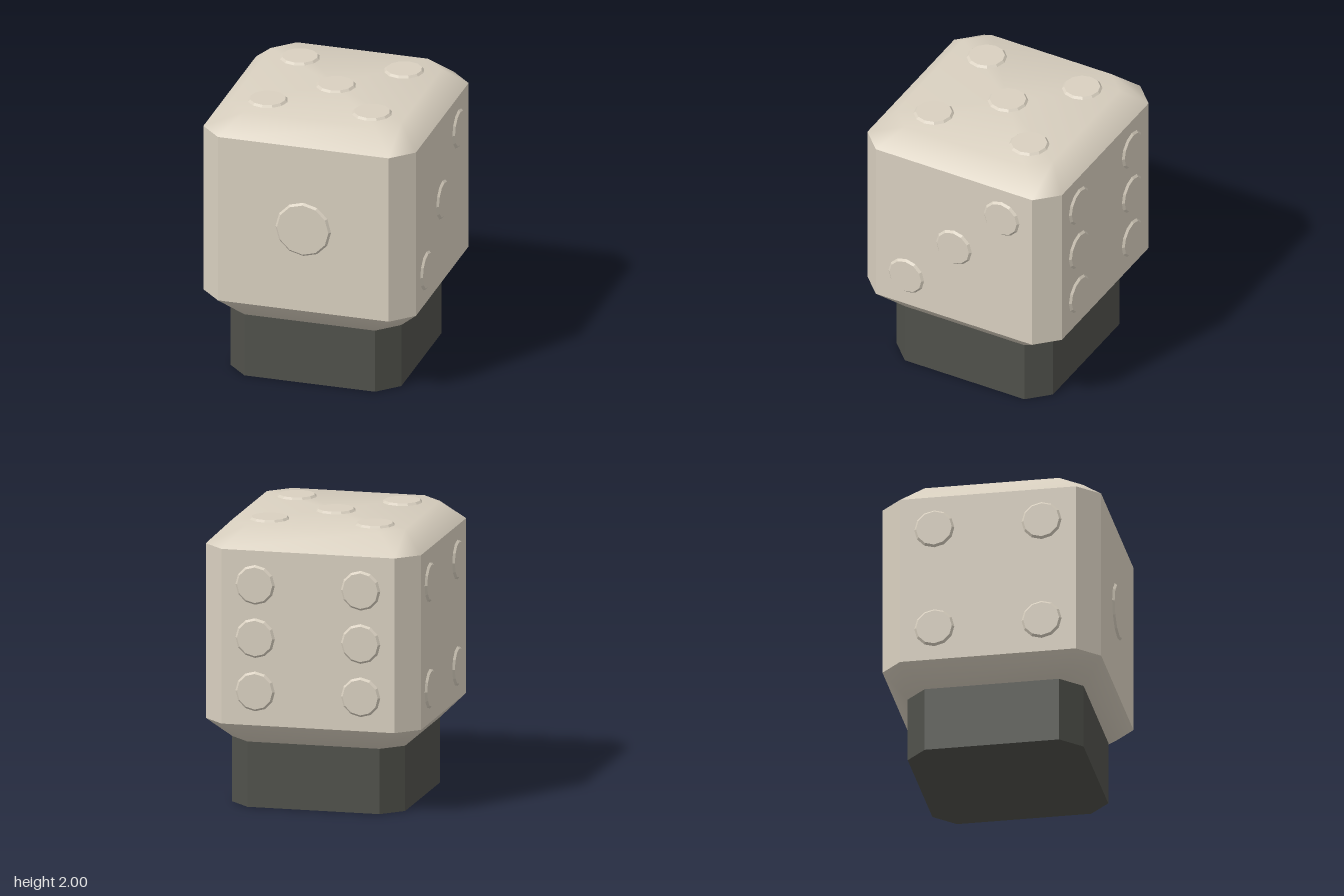
import * as THREE from 'three';

// Square with cut corners, running from +z towards +x
function octagon(half, cut) {
  const c = half - cut, h = half;
  return [[c, h], [h, c], [h, -c], [c, -h], [-c, -h], [-h, -c], [-h, c], [-c, h]];
}

// Joins two octagons {y, half, cut}, low to high, with optional end caps
function loft(low, high, capLow, capHigh) {
  const positions = [], index = [];
  for (const ring of [low, high]) {
    for (const [x, z] of octagon(ring.half, ring.cut)) positions.push(x, ring.y, z);
  }
  positions.push(0, low.y, 0, 0, high.y, 0);
  for (let i = 0; i < 8; i++) {
    const j = (i + 1) % 8;
    index.push(i, j, j + 8, i, j + 8, i + 8);
    if (capLow) index.push(16, j, i);
    if (capHigh) index.push(17, i + 8, j + 8);
  }
  const geometry = new THREE.BufferGeometry();
  geometry.setAttribute('position', new THREE.Float32BufferAttribute(positions, 3));
  geometry.setIndex(index);
  return geometry;
}

function smooth(geometry) {
  geometry.computeVertexNormals();
  return geometry;
}

function faceted(geometry) {
  return smooth(geometry.toNonIndexed());
}

export function createModel() {
  const model = new THREE.Group();
  model.name = 'dieOnPlinth';
  const ivory = new THREE.MeshStandardMaterial({ color: 0xd9d0c0 });
  ivory.name = 'ivory';
  const charcoal = new THREE.MeshStandardMaterial({ color: 0x50514b });
  charcoal.name = 'charcoal';

  const add = (name, geometry, material, parent = model) => {
    const mesh = new THREE.Mesh(geometry, material);
    mesh.name = name;
    parent.add(mesh);
    return mesh;
  };

  // Plinth
  const inner = (y) => ({ y, half: 0.615, cut: 0.145 });
  const outer = (y) => ({ y, half: 0.765, cut: 0.15 });
  add('plinth', faceted(loft(inner(0), inner(0.46), true, true)), charcoal);

  // Die body: crisp walls between softly shaded bevelled ends
  add('dieWalls', faceted(loft(outer(0.61), outer(1.84), false, false)), ivory);
  add('dieTop', smooth(loft(outer(1.84), inner(1.985), false, true)), ivory);
  add('dieUnderside', smooth(loft(inner(0.46), outer(0.61), true, false)), ivory);

  // Raised pips, laid out per face and turned to point along +z
  const d = 0.375, height = 0.015, centreY = 1.225;
  const makePip = (radius) => faceted(
    new THREE.CylinderGeometry(radius - 0.015, radius, height, 12)
      .rotateX(Math.PI / 2).translate(0, 0, height / 2));
  const pip = makePip(0.14), largePip = makePip(0.2);
  const corners = [[-d, -d], [d, -d], [-d, d], [d, d]];
  const faces = [
    { name: 'frontPips', spots: [[0, 0]], turn: [0, 0], reach: 0.765, shape: largePip },
    { name: 'rightPips', spots: [[-d, -d], [0, 0], [d, d]], turn: [0, Math.PI / 2], reach: 0.765 },
    { name: 'leftPips', spots: corners, turn: [0, -Math.PI / 2], reach: 0.765 },
    { name: 'backPips', spots: [...corners, [-d, 0], [d, 0]], turn: [0, Math.PI], reach: 0.765 },
    { name: 'topPips', spots: [...corners, [0, 0]], turn: [-Math.PI / 2, 0], reach: 0.76 },
  ];
  for (const { name, spots, turn, reach, shape = pip } of faces) {
    const group = new THREE.Group();
    group.name = name;
    group.position.y = centreY;
    group.rotation.set(turn[0], turn[1], 0);
    for (const [x, y] of spots) add('pip', shape, ivory, group).position.set(x, y, reach);
    model.add(group);
  }
  return model;
}
